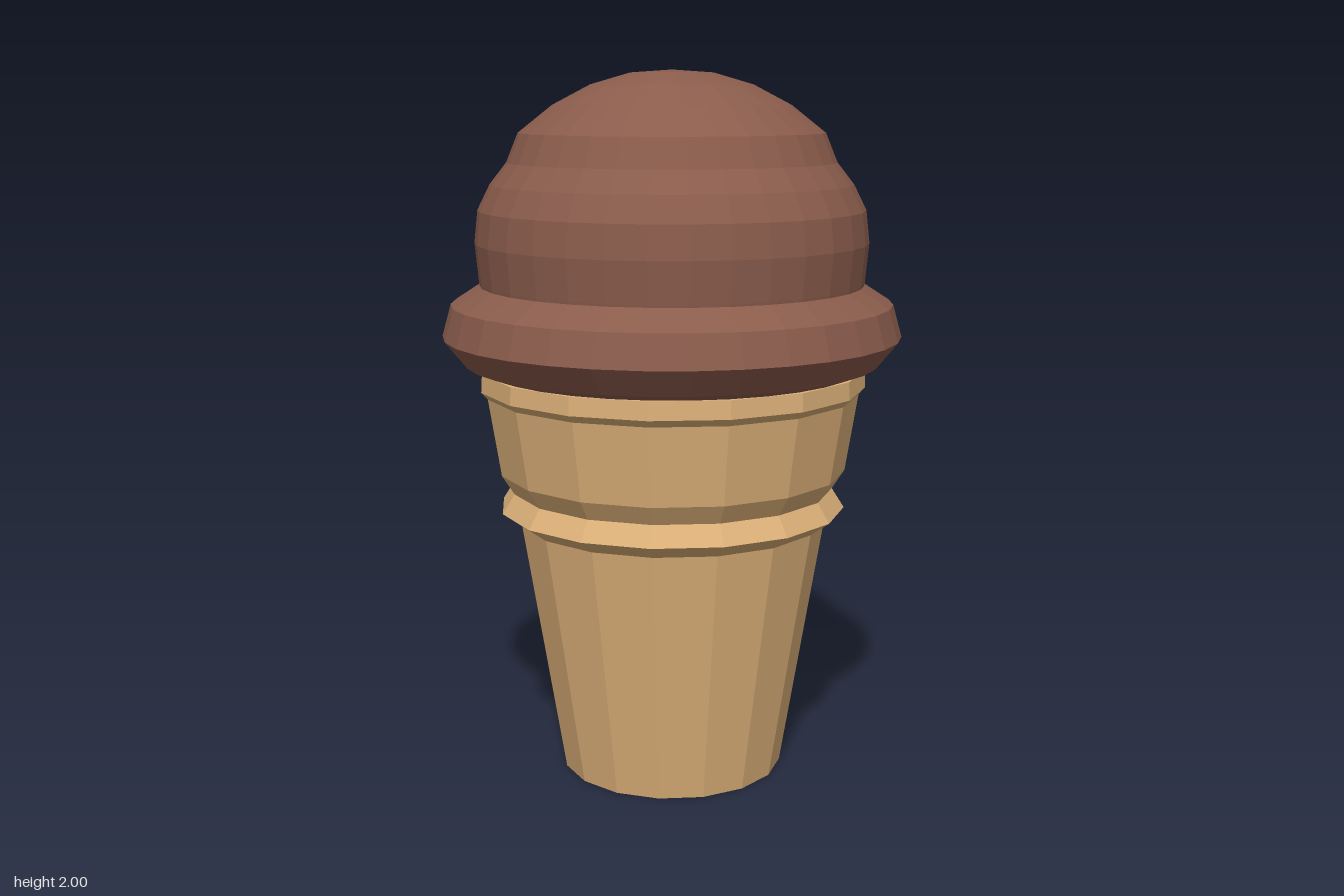
import * as THREE from 'three';

const waferMat = new THREE.MeshStandardMaterial({ color: 0xdcb078, flatShading: true });
const creamMat = new THREE.MeshStandardMaterial({ color: 0x8a5c4c, flatShading: true });

// Revolves a bottom-to-top list of [radius, height] points
function turned(name, profile, sides, material) {
  const points = profile.map(([r, y]) => new THREE.Vector2(r, y));
  const mesh = new THREE.Mesh(new THREE.LatheGeometry(points, sides), material);
  mesh.name = name;
  return mesh;
}

export function createModel() {
  const group = new THREE.Group();
  group.name = 'iceCreamCone';

  // Tapered wafer cup with a raised band and a thicker lip
  group.add(turned('waferCone', [
    [0, 0], [0.32, 0],
    [0.44, 0.735], [0.495, 0.775], [0.46, 0.83], [0.495, 0.885],
    [0.53, 1.105], [0.548, 1.125], [0.545, 1.175], [0, 1.175],
  ], 16, waferMat));

  // Overhanging skirt of ice cream pressed onto the lip
  group.add(turned('scoopSkirt', [
    [0, 1.17], [0.53, 1.175], [0.585, 1.195], [0.645, 1.27],
    [0.62, 1.36], [0.535, 1.415], [0, 1.415],
  ], 32, creamMat));

  // Domed scoop with a shallow groove near the crown
  group.add(turned('scoop', [
    [0.535, 1.38], [0.54, 1.42], [0.55, 1.53], [0.54, 1.62], [0.505, 1.69],
    [0.458, 1.75], [0.425, 1.83], [0.33, 1.905], [0.225, 1.96],
    [0.115, 1.992], [0, 2],
  ], 32, creamMat));

  return group;
}
